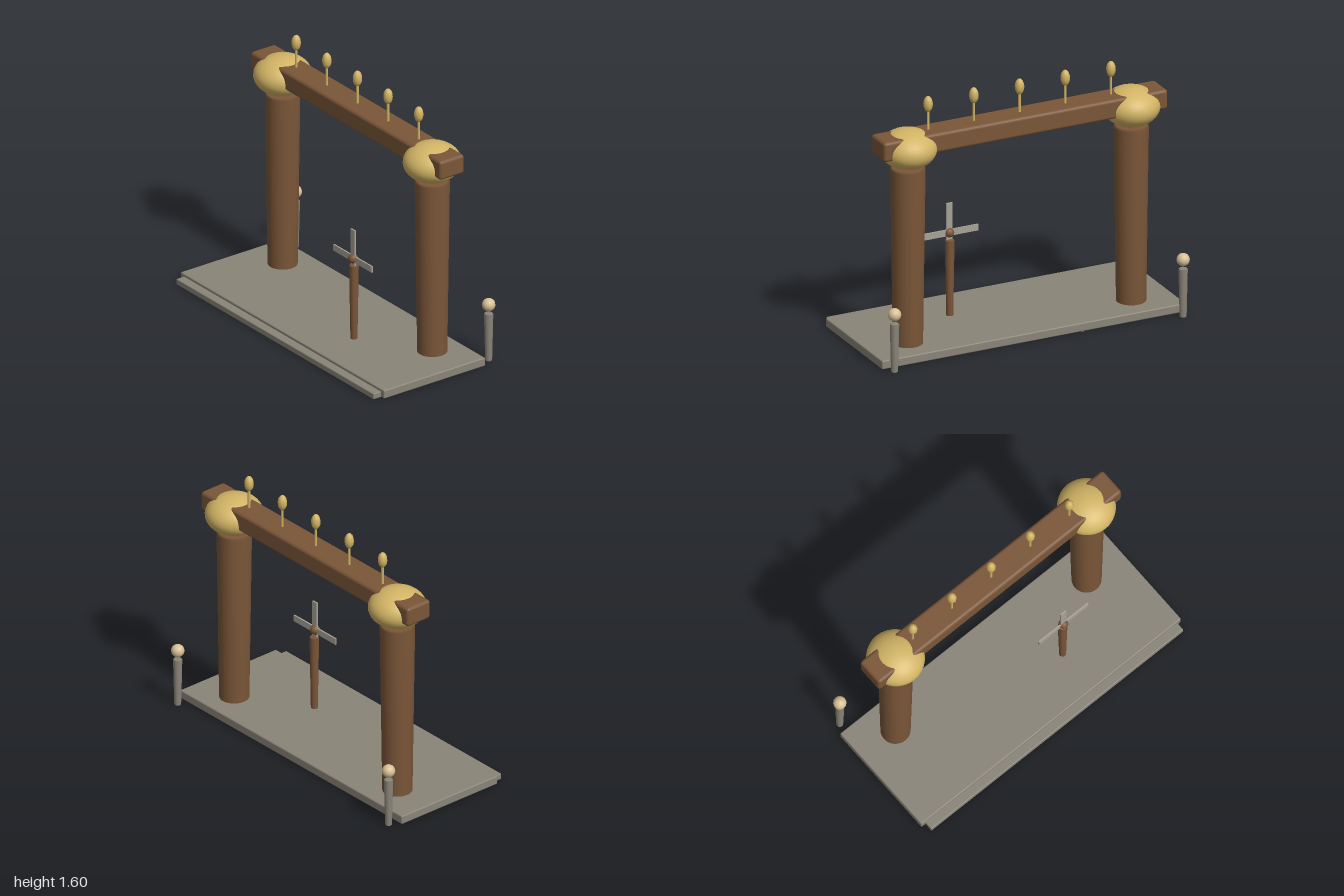
import * as THREE from 'three';
import { RoundedBoxGeometry } from 'three/addons/geometries/RoundedBoxGeometry.js';

const paint = (color) => new THREE.MeshStandardMaterial({ color });
const stone = paint(0x8a8478);
const wood = paint(0x7a5638);
const gold = paint(0xd2b465);
const tan = paint(0xd8c094);
const sail = paint(0xa8a298);

export function createModel() {
  const model = new THREE.Group();

  const add = (name, geometry, material, x, y, z, parent = model) => {
    const mesh = new THREE.Mesh(geometry, material);
    mesh.name = name;
    mesh.position.set(x, y, z);
    parent.add(mesh);
    return mesh;
  };

  // Tapered round post with bevelled rims, standing on y = 0
  const post = (bottom, top, height, bevel, sides) => new THREE.LatheGeometry([
    [0, 0], [bottom - bevel, 0], [bottom, bevel],
    [top, height - bevel], [top - bevel, height], [0, height],
  ].map(([r, y]) => new THREE.Vector2(r, y)), sides);

  // Stone platform with a lower front step
  add('platform', new RoundedBoxGeometry(2, 0.055, 0.745, 2, 0.008), stone, 0, 0.0325, 0.0225);
  add('frontStep', new RoundedBoxGeometry(1.94, 0.038, 0.1, 2, 0.006), stone, 0, 0.024, 0.4);

  // Thin irregular patch on the underside
  const patch = new THREE.Shape([
    [0.39, -0.2], [-0.33, -0.34], [-0.46, -0.16], [-0.07, 0.01], [0.4, -0.01],
  ].map(([x, z]) => new THREE.Vector2(x, z)));
  const patchGeometry = new THREE.ExtrudeGeometry(patch, { depth: 0.01, bevelEnabled: false });
  patchGeometry.rotateX(Math.PI / 2);
  add('undersidePatch', patchGeometry, tan, 0, 0.011, 0);

  // Gate pillars, gold capitals and rear lamp posts, mirrored left and right
  const pillarGeometry = post(0.089, 0.105, 1.175, 0.012, 24);
  const lampGeometry = post(0.021, 0.028, 0.31, 0.005, 12);
  for (const side of [-1, 1]) {
    const pillar = new THREE.Group();
    pillar.name = side > 0 ? 'leftPillar' : 'rightPillar';
    add('shaft', pillarGeometry, wood, side * 0.735, 0.006, -0.157, pillar);
    add('capital', new THREE.SphereGeometry(0.176, 32, 20), gold, side * 0.735, 1.297, -0.157, pillar)
      .scale.set(0.98, 0.68, 1);
    model.add(pillar);

    const lamp = new THREE.Group();
    lamp.name = side > 0 ? 'leftLamp' : 'rightLamp';
    add('lampPost', lampGeometry, stone, side * 0.95, 0.005, -0.411, lamp);
    add('lampBall', new THREE.SphereGeometry(0.04, 16, 12), tan, side * 0.95, 0.37, -0.411, lamp);
    model.add(lamp);
  }

  // Crossbeam with a row of gold finials
  add('crossbeam', new RoundedBoxGeometry(1.87, 0.124, 0.18, 3, 0.02), wood, 0, 1.332, -0.158);
  for (let i = -2; i <= 2; i++) {
    const finial = new THREE.Group();
    finial.name = 'finial';
    add('stem', new THREE.CylinderGeometry(0.008, 0.008, 0.15, 8), gold, 0, 1.455, 0, finial);
    add('bud', new THREE.SphereGeometry(0.029, 10, 8), gold, 0, 1.555, 0, finial).scale.y = 1.72;
    finial.position.set(i * 0.301, 0, -0.157);
    model.add(finial);
  }

  // Small pinwheel: pole, hub and four flat blades
  const pinwheel = new THREE.Group();
  pinwheel.name = 'pinwheel';
  add('pole', post(0.021, 0.029, 0.49, 0.005, 12), wood, 0, 0.05, -0.006, pinwheel);
  const rotor = new THREE.Group();
  rotor.name = 'rotor';
  rotor.position.y = 0.583;
  add('hub', new THREE.SphereGeometry(0.03, 14, 10), wood, 0, 0, 0, rotor);
  for (let i = 0; i < 4; i++) {
    const arm = new THREE.Group();
    arm.name = 'blade';
    add('bladePanel', new THREE.BoxGeometry(0.04, 0.185, 0.01), sail, 0, 0.0965, 0, arm);
    arm.rotation.z = i * Math.PI / 2;
    rotor.add(arm);
  }
  pinwheel.add(rotor);
  pinwheel.position.set(0.325, 0, 0.118);
  model.add(pinwheel);

  return model;
}
